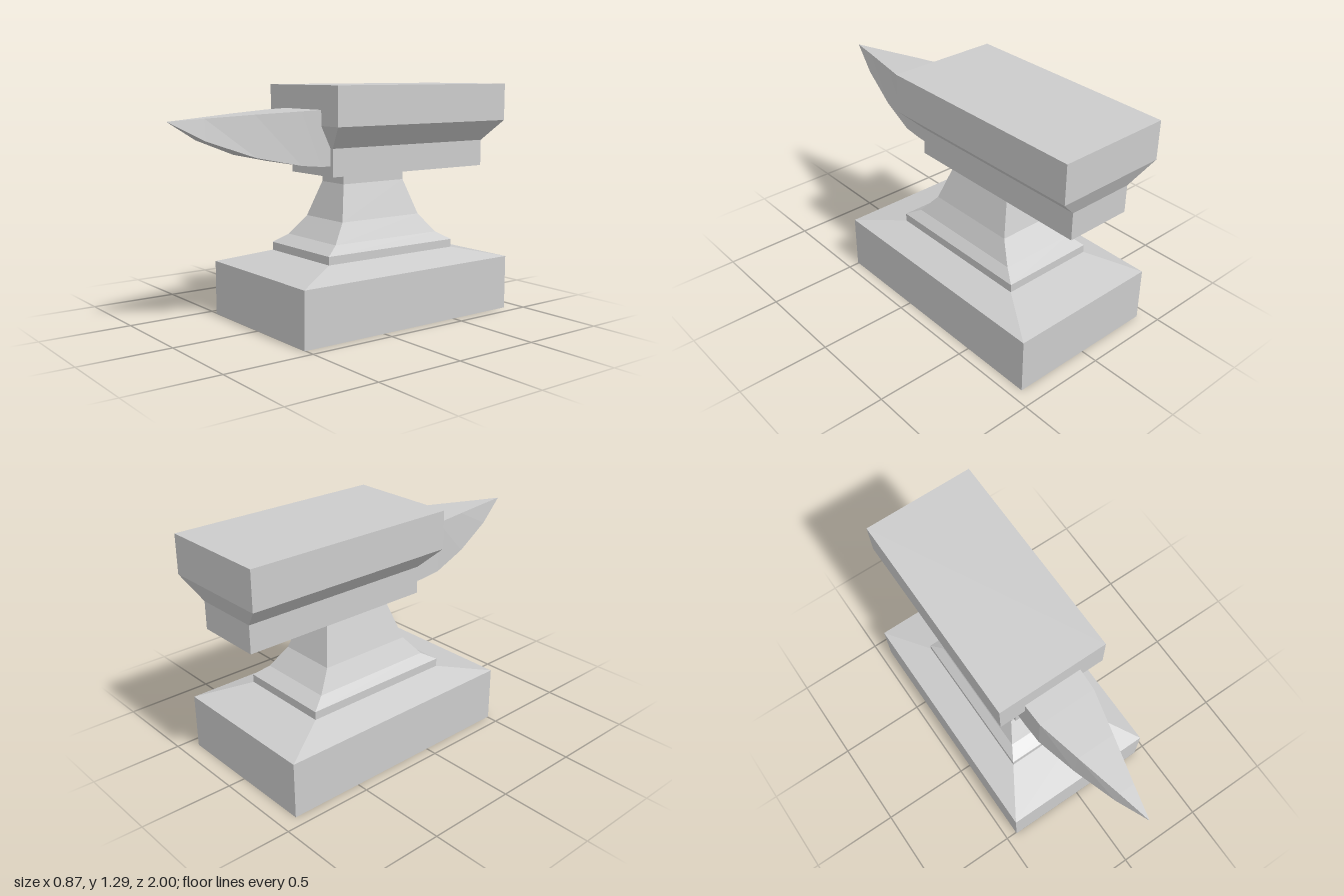
import * as THREE from 'three';

const material = new THREE.MeshStandardMaterial({ color: 0xcccccc, flatShading: true });

// Capped loft through four-cornered rings, each counterclockwise seen from the far end
function loft(name, rings) {
  const index = [];
  for (let i = 0; i < rings.length - 1; i++) {
    for (let j = 0; j < 4; j++) {
      const a = i * 4 + j, b = i * 4 + (j + 1) % 4;
      index.push(a, b, b + 4, a, b + 4, a + 4);
    }
  }
  const e = (rings.length - 1) * 4;
  index.push(0, 2, 1, 0, 3, 2, e, e + 1, e + 2, e, e + 2, e + 3);
  const indexed = new THREE.BufferGeometry();
  indexed.setAttribute('position', new THREE.Float32BufferAttribute(rings.flat(2), 3));
  indexed.setIndex(index);
  const geometry = indexed.toNonIndexed();
  geometry.computeVertexNormals();
  const mesh = new THREE.Mesh(geometry, material);
  mesh.name = name;
  return mesh;
}

// Stack of rectangles going up: [y, half width, half depth], centred on z = cz
function stack(name, cz, levels) {
  return loft(name, levels.map(([y, w, d]) => [
    [w, y, cz + d], [w, y, cz - d], [-w, y, cz - d], [-w, y, cz + d],
  ]));
}

export function createModel() {
  const group = new THREE.Group();
  group.name = 'anvil';

  // Block foot with a sloping top
  group.add(stack('base', -0.2, [
    [0, 0.437, 0.706], [0.305, 0.437, 0.706], [0.365, 0.267, 0.433],
  ]));

  // Flared waist
  group.add(stack('pedestal', -0.2, [
    [0.365, 0.267, 0.433], [0.41, 0.267, 0.433], [0.455, 0.22, 0.355],
    [0.56, 0.165, 0.268], [0.755, 0.098, 0.21], [0.81, 0.098, 0.21],
  ]));

  // Working block, widening to the face
  group.add(stack('body', -0.396, [
    [0.81, 0.187, 0.545], [0.96, 0.187, 0.545],
    [1.08, 0.312, 0.604], [1.29, 0.312, 0.604],
  ]));

  // Pointed horn: [z, top y, top half width, bottom y, bottom half width]
  const horn = [
    [0.1, 1.165, 0.168, 0.865, 0.168],
    [0.21, 1.163, 0.167, 0.868, 0.168],
    [0.33, 1.158, 0.162, 0.88, 0.165],
    [0.57, 1.146, 0.105, 0.93, 0.115],
    [0.82, 1.131, 0.043, 1.02, 0.055],
    [1, 1.12, 0.001, 1.118, 0.001],
  ];
  group.add(loft('horn', horn.map(([z, t, tw, b, bw]) => [
    [tw, t, z], [-tw, t, z], [-bw, b, z], [bw, b, z],
  ])));

  return group;
}
